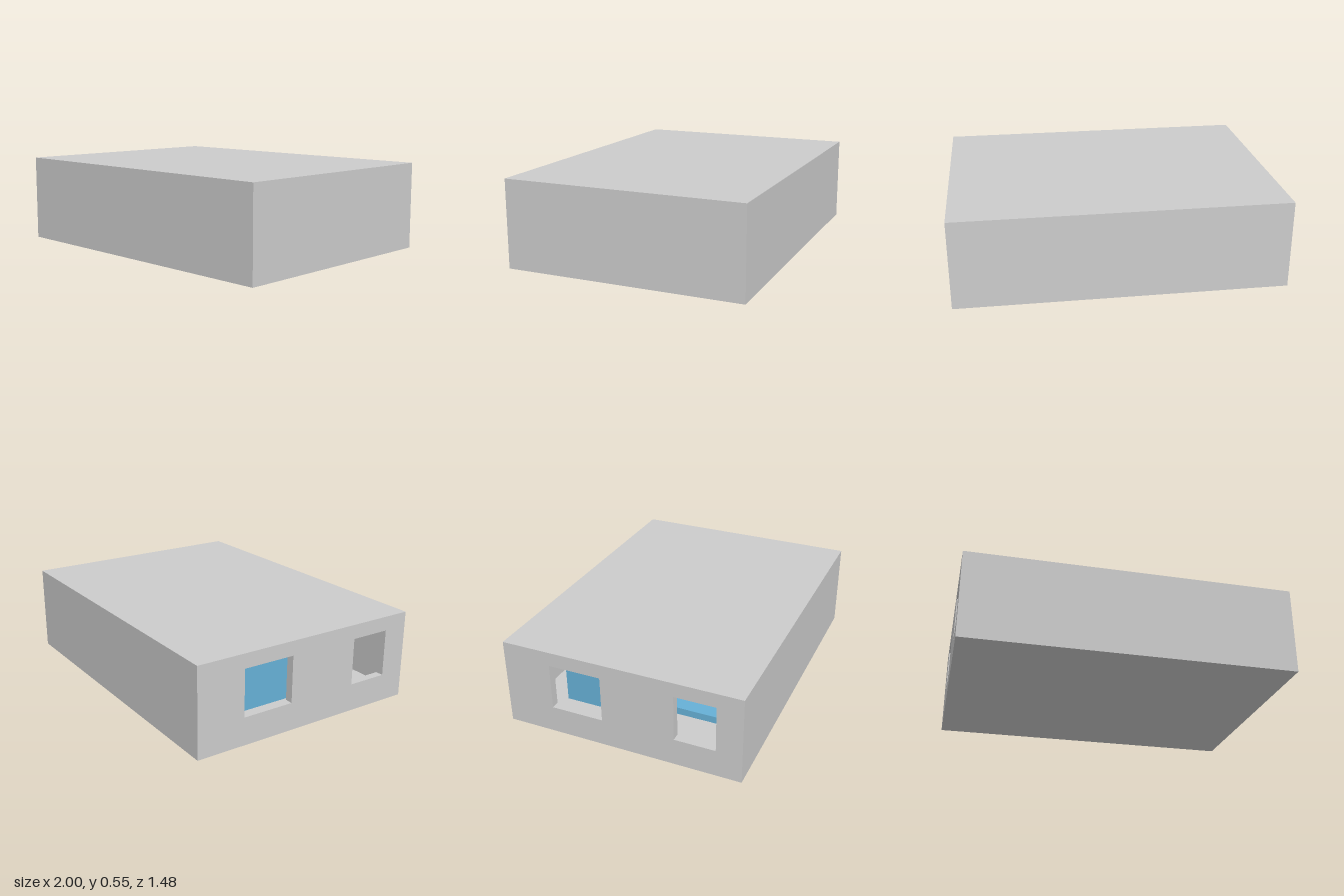
import * as THREE from 'three';

const W = 2, H = 0.545, D = 1.48; // overall size
const T = 0.05; // wall, floor and ceiling thickness

export function createModel() {
  const room = new THREE.Group();
  room.name = 'room';
  const grey = new THREE.MeshStandardMaterial({ color: 0xcccccc });
  const blue = new THREE.MeshStandardMaterial({ color: 0x66b0d6 });

  // Box given by its ranges along x, y and z
  function box(name, [x0, x1], [y0, y1], [z0, z1], material = grey) {
    const mesh = new THREE.Mesh(new THREE.BoxGeometry(x1 - x0, y1 - y0, z1 - z0), material);
    mesh.position.set((x0 + x1) / 2, (y0 + y1) / 2, (z0 + z1) / 2);
    mesh.name = name;
    room.add(mesh);
  }

  // Floor, ceiling and the three closed walls
  const x = W / 2, z = D / 2;
  box('floor', [-x + T, x - T], [0, T], [-z + T, z - T]);
  box('ceiling', [-x + T, x - T], [H - T, H], [-z + T, z - T]);
  box('frontWall', [-x + T, x], [0, H], [z - T, z]);
  box('backWall', [-x + T, x], [0, H], [-z, -z + T]);
  box('sideWall', [x - T, x], [0, H], [-z + T, z - T]);

  // Side wall with two window openings, drawn in z and y
  const rectangle = (Type, z0, z1, y0, y1) => new Type([
    new THREE.Vector2(z0, y0), new THREE.Vector2(z1, y0),
    new THREE.Vector2(z1, y1), new THREE.Vector2(z0, y1),
  ]);
  const outline = rectangle(THREE.Shape, -z, z, 0, H);
  for (const [z0, z1] of [[-0.44, -0.115], [0.335, 0.585]]) {
    outline.holes.push(rectangle(THREE.Path, z0, z1, 0.17, 0.457));
  }
  const windowWall = new THREE.Mesh(
    new THREE.ExtrudeGeometry(outline, { depth: T, bevelEnabled: false }), grey);
  windowWall.rotation.y = -Math.PI / 2;
  windowWall.position.x = -x + T;
  windowWall.name = 'windowWall';
  room.add(windowWall);

  // Blue furniture inside: an upright panel and a low platform behind it
  box('furniturePanel', [-0.74, -0.62], [T, 0.32], [-0.5, 0.1], blue);
  box('furniturePlatform', [-0.62, 0.1], [T, T + 0.045], [-0.5, 0.5], blue);

  return room;
}
